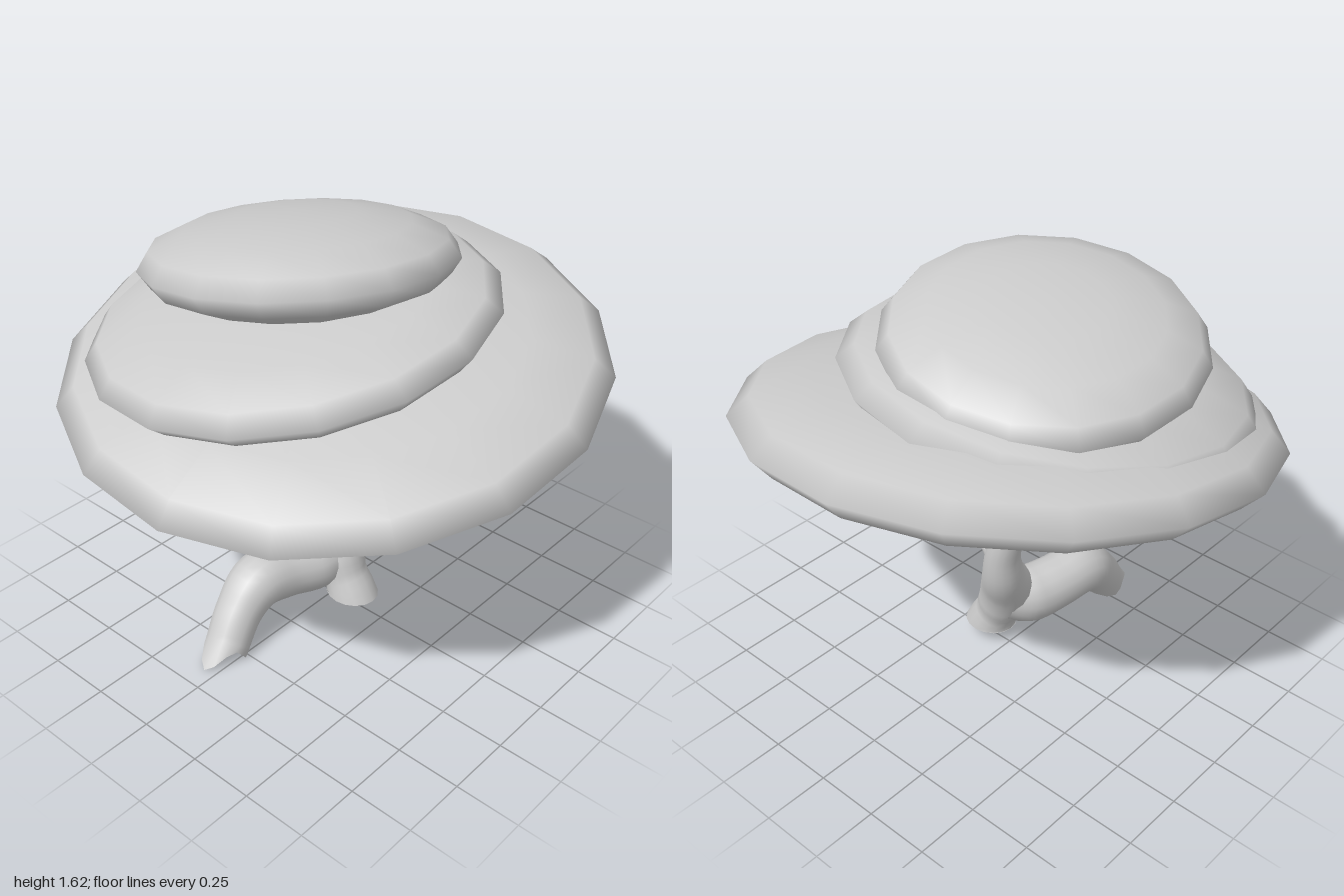
import * as THREE from 'three';
import { mergeVertices } from 'three/addons/utils/BufferGeometryUtils.js';

const material = new THREE.MeshStandardMaterial({ color: 0xcccccc, side: THREE.DoubleSide });

// Flattened low-poly ellipsoid, leaning by its slopes along x and z
function canopy(name, center, radius, halfHeight, slopeX, slopeZ, yaw) {
  const geometry = new THREE.SphereGeometry(1, 16, 8);
  geometry.rotateY(THREE.MathUtils.degToRad(yaw));
  geometry.scale(radius, halfHeight, radius);
  const mesh = new THREE.Mesh(geometry, material);
  const normal = new THREE.Vector3(-slopeX, 1, -slopeZ).normalize();
  mesh.quaternion.setFromUnitVectors(new THREE.Vector3(0, 1, 0), normal);
  mesh.position.set(...center);
  mesh.name = name;
  return mesh;
}

// Open tube along stations [x, y, z, radius]; the first ring may be cut at floor height
function limb(name, stations, floor = null, jag = 0) {
  const rings = 28, sides = 16;
  const curve = new THREE.CatmullRomCurve3(stations.map(([x, y, z]) => new THREE.Vector3(x, y, z)));
  const radii = new THREE.CatmullRomCurve3(stations.map((s) => new THREE.Vector3(s[3], 0, 0)));
  const geometry = new THREE.TubeGeometry(curve, rings, 1, sides);
  const pos = geometry.attributes.position;
  const v = new THREE.Vector3();
  for (let i = 0; i <= rings; i++) {
    const c = curve.getPointAt(i / rings);
    const r = radii.getPoint(curve.getUtoTmapping(i / rings)).x;
    const tangent = curve.getTangentAt(i / rings);
    for (let j = 0; j <= sides; j++) {
      const k = i * (sides + 1) + j;
      v.fromBufferAttribute(pos, k).sub(c).multiplyScalar(r).add(c);
      if (floor !== null) {
        const cut = floor + jag * Math.sin((j / sides) * Math.PI * 6);
        // slide along the limb to the cut plane
        if (i === 0 || v.y < cut) v.addScaledVector(tangent, (cut - v.y) / Math.max(tangent.y, 0.4));
      }
      pos.setXYZ(k, v.x, v.y, v.z);
    }
  }
  geometry.deleteAttribute('uv');
  geometry.deleteAttribute('normal');
  const smooth = mergeVertices(geometry, 1e-4);
  smooth.computeVertexNormals();
  const mesh = new THREE.Mesh(smooth, material);
  mesh.name = name;
  return mesh;
}

export function createModel() {
  const tree = new THREE.Group();
  tree.name = 'layeredTree';

  // Three stacked foliage pads
  tree.add(
    canopy('lowerCanopy', [0, 1.075, 0], 1.0, 0.2, 0.17, -0.058, 7.5),
    canopy('middleCanopy', [-0.085, 1.235, -0.115], 0.755, 0.16, 0.14, 0.1, 4),
    canopy('topCanopy', [-0.01, 1.43, -0.15], 0.575, 0.17, -0.1, 0.155, 7),
  );

  // Main trunk with an open flat-cut base
  tree.add(limb('trunk', [
    [-0.005, 0.065, 0.105, 0.096],
    [-0.005, 0.18, 0.05, 0.096],
    [0.02, 0.31, 0, 0.1],
    [0.085, 0.42, -0.045, 0.083],
    [0.115, 0.55, -0.07, 0.067],
    [0.11, 0.7, -0.11, 0.06],
    [0.108, 0.9, -0.132, 0.055],
  ], 0.065));

  // Forked branch reaching forward under the canopy
  tree.add(limb('branch', [
    [0.115, 0.53, -0.06, 0.055],
    [0.09, 0.615, 0.05, 0.05],
    [0.05, 0.695, 0.18, 0.046],
    [0.025, 0.785, 0.262, 0.045],
    [0.01, 0.9, 0.312, 0.045],
  ]));

  // Arched second root with a ragged open end
  tree.add(limb('archedRoot', [
    [-0.54, 0.03, -0.06, 0.085],
    [-0.45, 0.145, -0.075, 0.092],
    [-0.35, 0.22, -0.075, 0.108],
    [-0.22, 0.215, -0.055, 0.11],
    [-0.1, 0.205, -0.02, 0.115],
    [0.02, 0.23, 0.02, 0.085],
  ], 0.03, 0.028));

  return tree;
}
